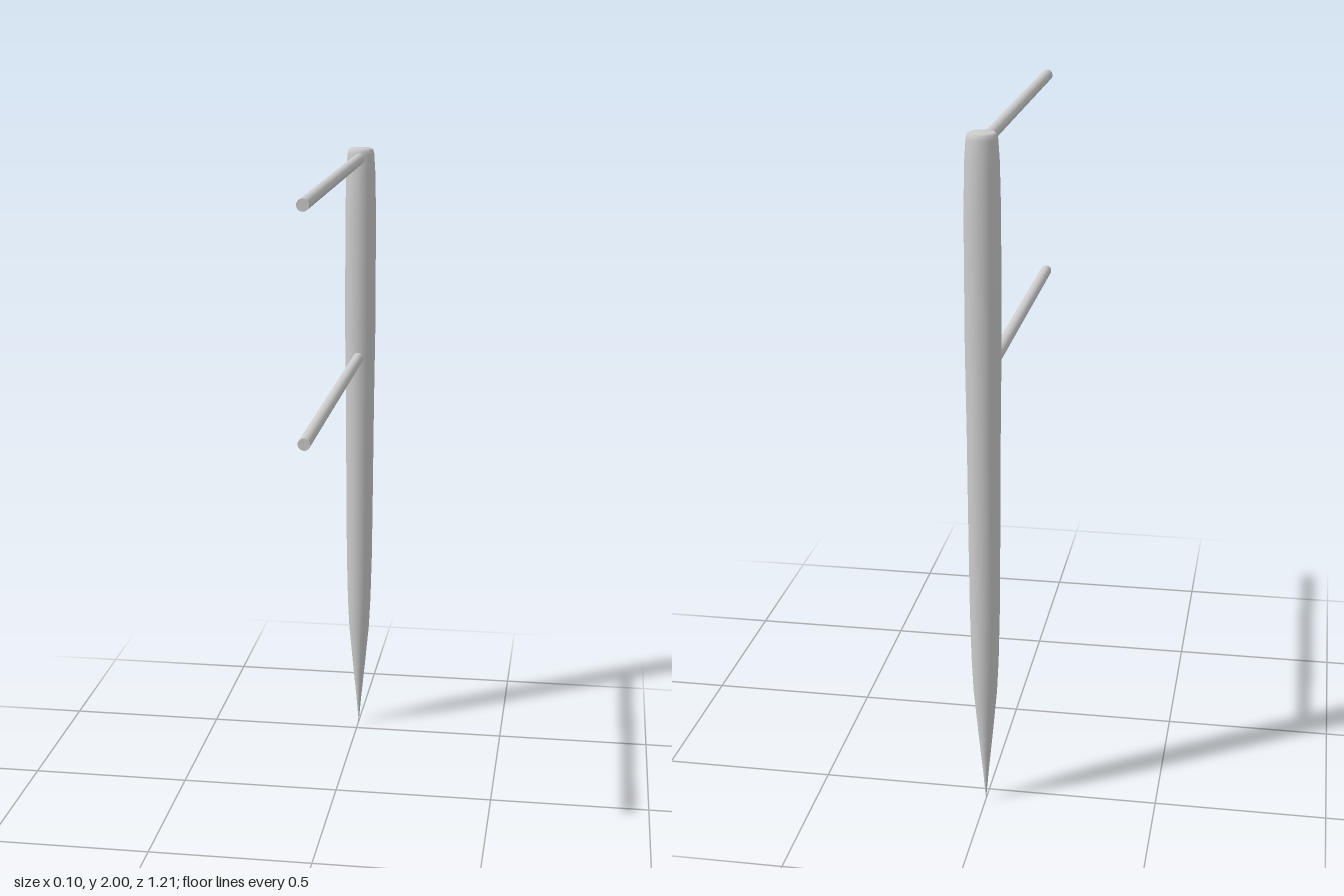
import * as THREE from 'three';

const POST_Z = -0.556, ROD_END = 0.607;

export function createModel() {
  const group = new THREE.Group();
  const material = new THREE.MeshStandardMaterial({ color: 0xcccccc });

  // Tapered stake: sharp tip, slight swell, rounded crown
  const profile = [
    [0, 0], [0.009, 0.1], [0.021, 0.22], [0.034, 0.36], [0.039, 0.46], [0.043, 0.62],
    [0.045, 0.85], [0.047, 1.15], [0.05, 1.4], [0.05, 1.78], [0.047, 1.92],
    [0.043, 1.98], [0.04, 1.993], [0.034, 1.998], [0, 2],
  ].map(([r, y]) => new THREE.Vector2(r, y));
  const stake = new THREE.Mesh(new THREE.LatheGeometry(profile, 32), material);
  stake.name = 'stake';
  stake.position.z = POST_Z;
  group.add(stake);

  // Two parallel rods reaching forward from the stake
  const length = ROD_END - POST_Z;
  const rodGeometry = new THREE.CylinderGeometry(0.0175, 0.0175, length, 20).rotateX(Math.PI / 2);
  for (const [name, y] of [['upperRod', 1.967], ['lowerRod', 1.319]]) {
    const rod = new THREE.Mesh(rodGeometry, material);
    rod.name = name;
    rod.position.set(0, y, POST_Z + length / 2);
    group.add(rod);
  }
  return group;
}
